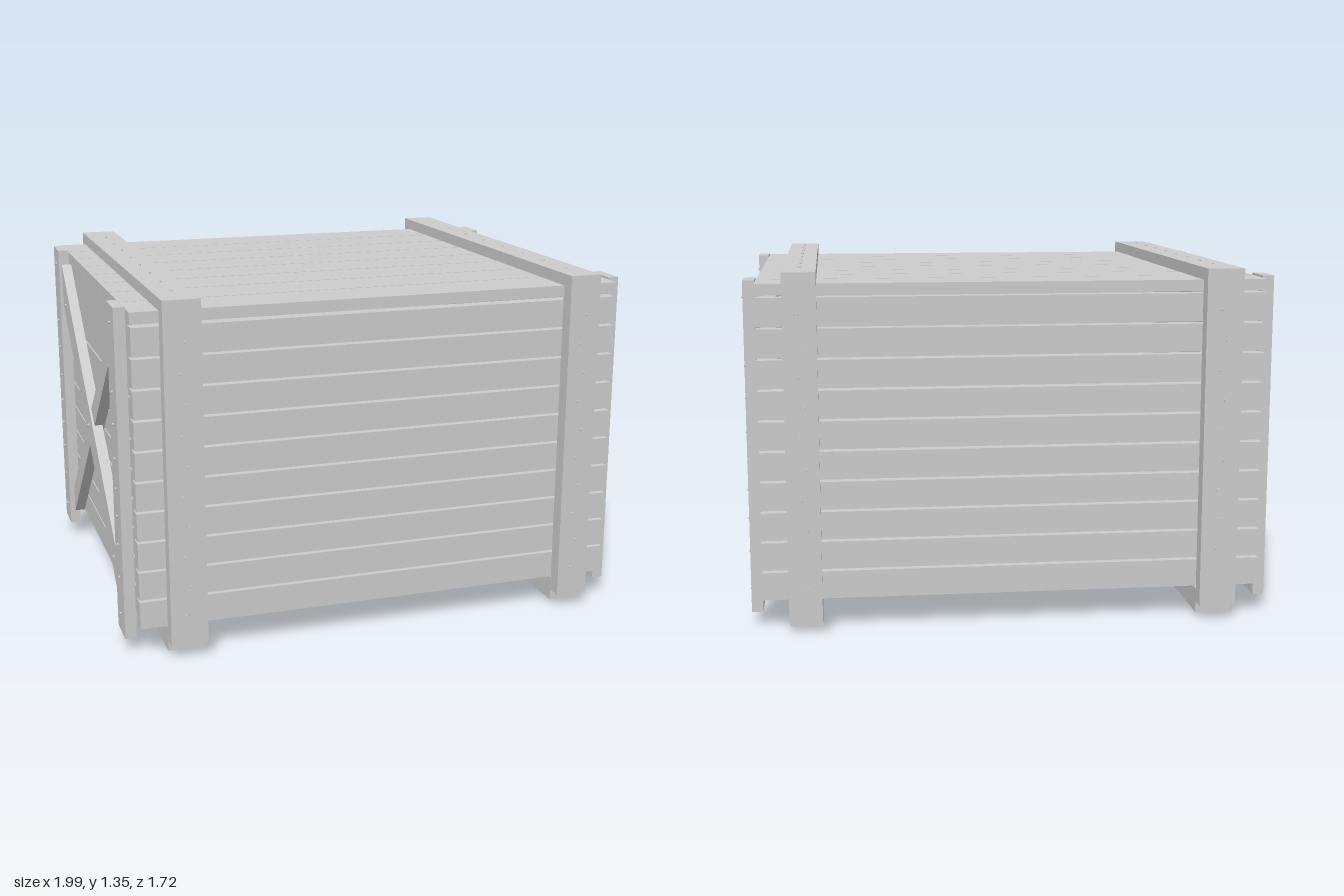
import * as THREE from 'three';

const wood = new THREE.MeshStandardMaterial({ color: 0xcccccc });
const pitch = 0.1137;

// Box given by its min and max along each axis
function board(parent, name, [x0, x1], [y0, y1], [z0, z1]) {
  const mesh = new THREE.Mesh(new THREE.BoxGeometry(x1 - x0, y1 - y0, z1 - z0), wood);
  mesh.position.set((x0 + x1) / 2, (y0 + y1) / 2, (z0 + z1) / 2);
  mesh.name = name;
  parent.add(mesh);
}

const screwGeometry = new THREE.CylinderGeometry(0.005, 0.009, 0.024, 8);
const up = new THREE.Vector3(0, 1, 0);

// Screw head standing slightly proud of a surface with the given normal
function screw(parent, x, y, z, normal) {
  const mesh = new THREE.Mesh(screwGeometry, wood);
  mesh.position.set(x, y, z);
  mesh.quaternion.setFromUnitVectors(up, new THREE.Vector3(...normal));
  mesh.name = 'screw';
  parent.add(mesh);
}

// Diagonal brace with vertical end cuts; u runs along -z
function brace(parent, name, corners, x, thickness) {
  const shape = new THREE.Shape(corners.map(([u, y]) => new THREE.Vector2(u, y)));
  const geometry = new THREE.ExtrudeGeometry(shape, { depth: thickness, bevelEnabled: false });
  geometry.rotateY(Math.PI / 2);
  const mesh = new THREE.Mesh(geometry, wood);
  mesh.position.x = x;
  mesh.name = name;
  parent.add(mesh);
}

// End wall at +x with posts and crossed braces; lift staggers the plank gaps
function createEnd(lift) {
  const end = new THREE.Group();
  end.name = 'endWall';

  // Recessed planks, wider towards the top
  const seams = [0.115, 0.226, 0.339, 0.453, 0.567, 0.68, 0.794, 0.955, 1.25];
  for (let i = 0; i < seams.length - 1; i++) {
    board(end, 'endPlank', [0.87, 0.925], [seams[i] + lift, seams[i + 1] + lift - 0.008], [-0.74, 0.74]);
  }

  // Posts
  for (const z of [0.664, -0.666]) {
    board(end, 'endPost', [0.945, 0.988], [0.056, 1.305], [z - 0.07, z + 0.07]);
    for (const y of [0.13, 0.275, 0.405, 0.515, 0.62, 0.735, 0.865, 0.985, 1.24]) {
      screw(end, 0.982, y, z, [1, 0, 0]);
    }
  }

  // Braces, the wide one lying just over the narrow one
  brace(end, 'narrowBrace', [[-0.594, 0.113], [0.594, 1.145], [0.594, 1.25], [-0.594, 0.228]], 0.92, 0.047);
  brace(end, 'wideBrace', [[-0.594, 1.07], [0.594, 0.118], [0.594, 0.283], [-0.594, 1.243]], 0.935, 0.041);
  for (const [z, y] of [[0.51, 1.08], [0, 0.68], [-0.49, 0.29]]) {
    screw(end, 0.971, y, z, [1, 0, 0]);
  }
  return end;
}

export function createModel() {
  const crate = new THREE.Group();
  crate.name = 'woodenCrate';

  // The two ends are alike, turned half a revolution
  const rightEnd = createEnd(0);
  const leftEnd = createEnd(0.006);
  leftEnd.rotation.y = Math.PI;
  leftEnd.position.x = -0.006;
  crate.add(rightEnd, leftEnd);

  // Long walls of ten horizontal planks, the gaps slightly staggered
  for (const side of [1, -1]) {
    for (let i = 0; i < 10; i++) {
      const y = (side > 0 ? 0.113 : 0.119) + i * pitch;
      const z = side * 0.768;
      board(crate, 'wallPlank', [-0.947, 0.943], [y, y + pitch - 0.009], [z - 0.028, z + 0.028]);
    }
  }

  // Lid and floor planks
  for (let i = 0; i < 8; i++) {
    const z = -0.802 + i * 0.2005;
    board(crate, 'lidPlank', [-0.95, 0.945], [1.255, 1.297], [z + 0.003, z + 0.1975]);
    const f = -0.74 + i * 0.185;
    board(crate, 'floorPlank', [-0.925, 0.925], [0.108, 0.15], [f + 0.003, f + 0.182]);
  }

  // Battens running round the crate, the left pair a little wider
  for (const [x0, x1] of [[-0.845, -0.706], [0.722, 0.845]]) {
    const x = (x0 + x1) / 2;
    board(crate, 'lidBatten', [x0, x1], [1.297, 1.342], [-0.797, 0.797]);
    board(crate, 'floorBatten', [x0, x1], [0.013, 0.108], [-0.795, 0.795]);
    for (let i = 0; i < 8; i++) {
      const z = 0.69 - i * 0.192;
      screw(crate, x, 1.336, z, [0, 1, 0]);
      screw(crate, x, 0.012, z + (x < 0 ? 0.04 : -0.04), [0, -1, 0]);
    }
    for (const side of [1, -1]) {
      const z = side * 0.825;
      board(crate, 'wallBatten', [x0, x1], [0.056, 1.342], [z - 0.029, z + 0.029]);
      for (let i = 0; i < 10; i++) {
        screw(crate, x + (i % 2 ? 0.01 : -0.01), 0.168 + i * pitch, side * 0.847, [0, 0, side]);
      }
    }
  }
  return crate;
}
